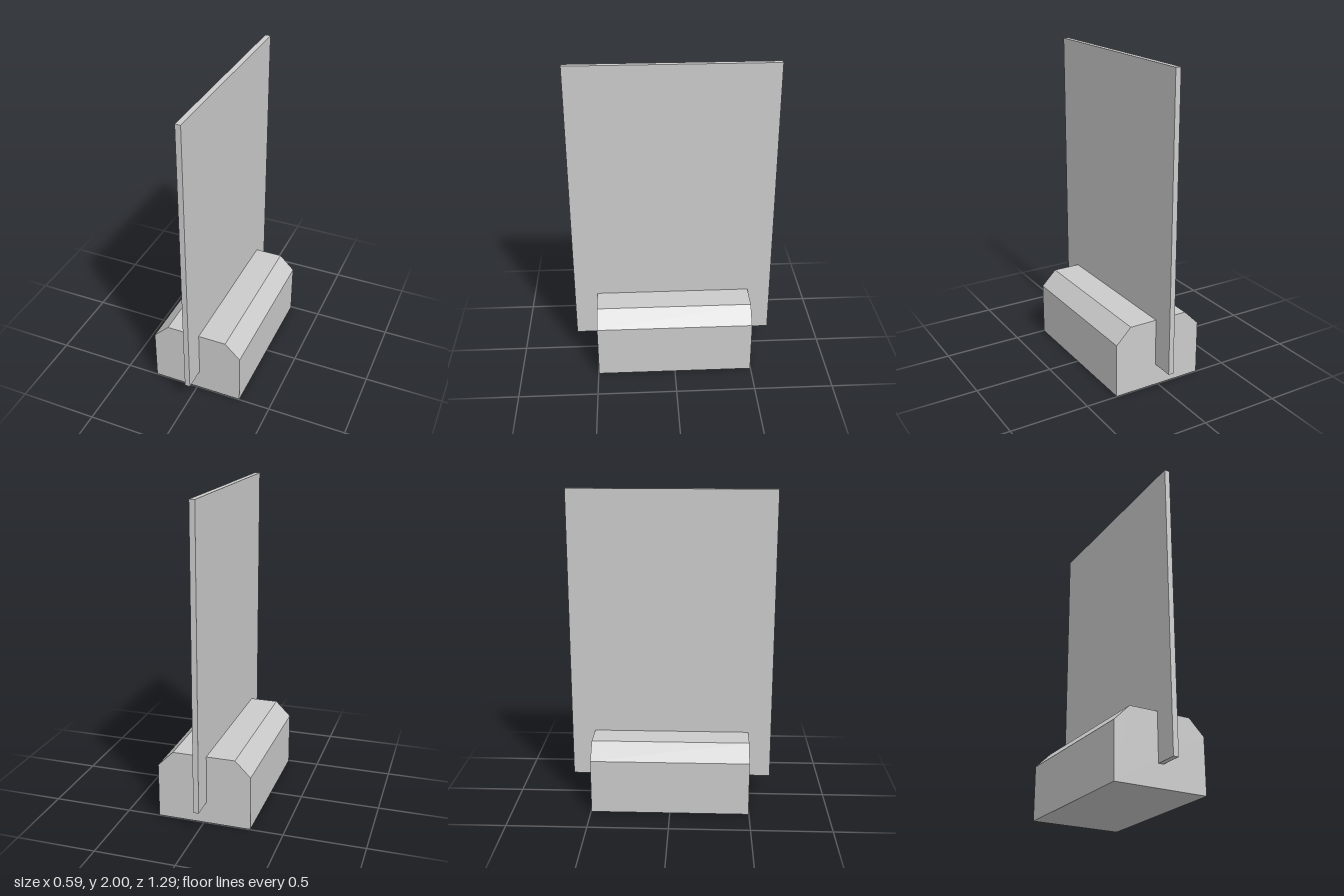
import * as THREE from 'three';

export function createModel() {
  const group = new THREE.Group();
  const material = new THREE.MeshStandardMaterial({ color: 0xcccccc, flatShading: true });

  // Base block with chamfered upper edges, extruded along z
  const halfWidth = 0.295, height = 0.443, chamfer = 0.098, depth = 0.994;
  const profile = new THREE.Shape([
    new THREE.Vector2(-halfWidth, 0),
    new THREE.Vector2(halfWidth, 0),
    new THREE.Vector2(halfWidth, height - chamfer),
    new THREE.Vector2(halfWidth - chamfer, height),
    new THREE.Vector2(-halfWidth + chamfer, height),
    new THREE.Vector2(-halfWidth, height - chamfer),
  ]);
  const baseGeometry = new THREE.ExtrudeGeometry(profile, { depth, bevelEnabled: false });
  baseGeometry.translate(0, 0, -depth / 2);
  const base = new THREE.Mesh(baseGeometry, material);
  base.name = 'base';
  group.add(base);

  // Thin upright panel set into the base and overhanging both ends
  const bottom = 0.14, top = 2;
  const panel = new THREE.Mesh(new THREE.BoxGeometry(0.034, top - bottom, 1.288), material);
  panel.position.y = (top + bottom) / 2;
  panel.name = 'uprightPanel';
  group.add(panel);

  return group;
}
